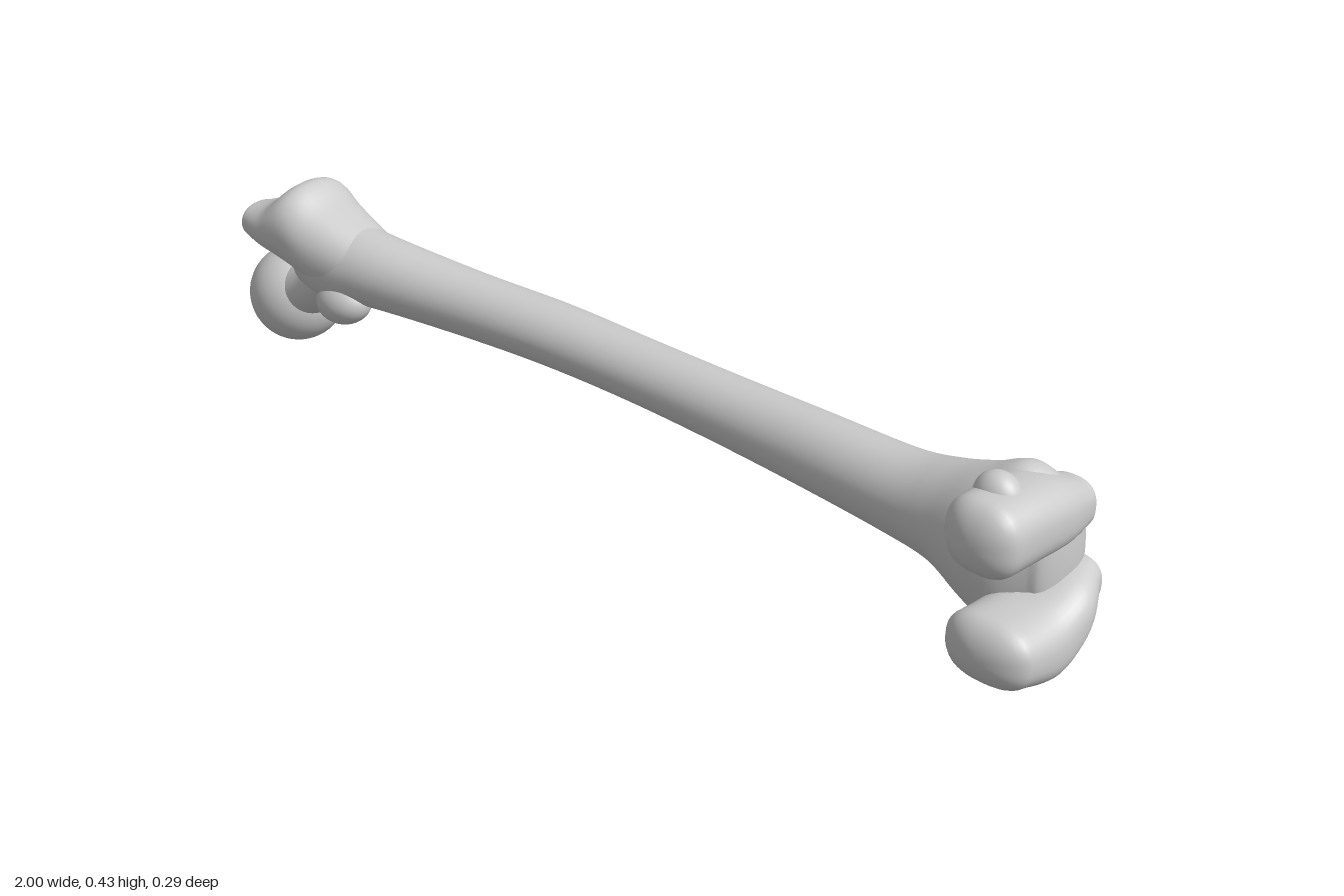
import * as THREE from 'three';

const material = new THREE.MeshStandardMaterial({ color: 0xcccccc, roughness: 0.8 });

// Catmull-Rom blend of one value through four neighbours
const blend = (a, b, c, d, t) =>
  0.5 * (2 * b + (c - a) * t + (2 * a - 5 * b + 4 * c - d) * t * t + (3 * b - a - 3 * c + d) * t * t * t);

// Smooth loft along an axis through rows of [along, centreU, centreV, radiusU, radiusV].
// (u, v) is (y, z) for axis 0 and (x, y) for axis 2. Both ends get rounded caps;
// power above 2 makes the cross-section squarer.
function loft(axis, rows, { capStart, capEnd, power = 2, steps = 6, sides = 40 }) {
  const path = [];
  const last = rows.length - 1;
  for (let i = 0; i < last; i++) {
    const [a, b, c, d] = [i - 1, i, i + 1, i + 2].map(k => rows[Math.min(last, Math.max(0, k))]);
    for (let s = 0; s < steps; s++) path.push(b.map((_, k) => blend(a[k], b[k], c[k], d[k], s / steps)));
  }
  path.push(rows[last]);

  const domeRow = ([t, u, v, ru, rv], cap, angle) =>
    [t + cap * Math.sin(angle), u, v, ru * Math.cos(angle), rv * Math.cos(angle)];
  const start = path[0], end = path[path.length - 1];
  for (let k = 1; k <= 8; k++) {
    const angle = Math.min(k / 8 * Math.PI / 2, 1.5705);
    path.unshift(domeRow(start, -capStart, angle));
    path.push(domeRow(end, capEnd, angle));
  }

  const positions = [], index = [];
  const round = w => Math.sign(w) * Math.abs(w) ** (2 / power);
  path.forEach(([t, u, v, ru, rv], i) => {
    for (let j = 0; j < sides; j++) {
      const angle = j / sides * Math.PI * 2;
      const point = [0, 0, 0];
      point[axis] = t;
      point[(axis + 1) % 3] = u + ru * round(Math.cos(angle));
      point[(axis + 2) % 3] = v + rv * round(Math.sin(angle));
      positions.push(...point);
      if (i === path.length - 1) continue;
      const a = i * sides + j, b = i * sides + (j + 1) % sides;
      index.push(a, b, a + sides, b, b + sides, a + sides);
    }
  });
  const geometry = new THREE.BufferGeometry();
  geometry.setAttribute('position', new THREE.Float32BufferAttribute(positions, 3));
  geometry.setIndex(index);
  geometry.computeVertexNormals();
  return geometry;
}

export function createModel() {
  const group = new THREE.Group();
  const add = (name, geometry) => {
    const mesh = new THREE.Mesh(geometry, material);
    mesh.name = name;
    group.add(mesh);
    return mesh;
  };
  const addKnob = (name, position, radii, tilt = 0) => {
    const mesh = add(name, new THREE.SphereGeometry(1, 40, 28));
    mesh.position.set(...position);
    mesh.scale.set(...radii);
    mesh.rotation.z = tilt;
  };

  // Gently bowed shaft, flaring into the knee end
  add('shaft', loft(0, [
    [-0.76, 0.265, 0.015, 0.085, 0.075],
    [-0.70, 0.258, 0.015, 0.085, 0.08],
    [-0.60, 0.262, 0.008, 0.071, 0.073],
    [-0.40, 0.254, -0.025, 0.062, 0.065],
    [-0.20, 0.251, -0.05, 0.059, 0.065],
    [0.00, 0.248, -0.059, 0.058, 0.063],
    [0.20, 0.246, -0.061, 0.062, 0.064],
    [0.40, 0.245, -0.059, 0.070, 0.067],
    [0.60, 0.243, -0.055, 0.079, 0.074],
    [0.70, 0.247, -0.051, 0.097, 0.080],
    [0.78, 0.241, -0.045, 0.133, 0.090],
    [0.85, 0.236, -0.049, 0.168, 0.087],
    [0.91, 0.240, -0.060, 0.140, 0.070],
  ], { capStart: 0.04, capEnd: 0.03 }));

  // Hip end: ball, slanting neck and the two trochanters
  addKnob('hipBall', [-0.904, 0.097, -0.041], [0.096, 0.097, 0.097]);
  add('neck', loft(0, [
    [-0.88, 0.115, -0.035, 0.070, 0.070],
    [-0.82, 0.148, -0.025, 0.062, 0.060],
    [-0.76, 0.190, -0.008, 0.066, 0.062],
    [-0.70, 0.225, 0.005, 0.068, 0.070],
    [-0.63, 0.245, 0.008, 0.058, 0.062],
  ], { capStart: 0.03, capEnd: 0.06 }));
  add('greaterTrochanter', loft(0, [
    [-0.89, 0.298, 0.055, 0.034, 0.046],
    [-0.845, 0.300, 0.038, 0.050, 0.074],
    [-0.785, 0.312, 0.020, 0.086, 0.093],
    [-0.72, 0.288, 0.018, 0.080, 0.087],
    [-0.63, 0.265, 0.012, 0.066, 0.070],
  ], { capStart: 0.022, capEnd: 0.08, power: 2.2 }));
  addKnob('lesserTrochanter', [-0.662, 0.196, 0.055], [0.062, 0.044, 0.045], 0.25);

  // Knee end: two rounded condyles with a notch between, and side bumps
  add('upperCondyle', loft(2, [
    [-0.118, 0.890, 0.318, 0.048, 0.046],
    [-0.05, 0.880, 0.330, 0.072, 0.064],
    [0.03, 0.880, 0.340, 0.075, 0.068],
    [0.10, 0.880, 0.343, 0.072, 0.069],
  ], { capStart: 0.026, capEnd: 0.045, power: 2.5 }));
  add('lowerCondyle', loft(2, [
    [-0.108, 0.920, 0.190, 0.048, 0.042],
    [-0.05, 0.914, 0.165, 0.083, 0.060],
    [0.02, 0.912, 0.134, 0.088, 0.070],
    [0.10, 0.907, 0.141, 0.086, 0.061],
  ], { capStart: 0.026, capEnd: 0.045, power: 2.5 }));
  add('kneeGroove', loft(2, [
    [-0.105, 0.885, 0.255, 0.045, 0.090],
    [-0.03, 0.880, 0.245, 0.055, 0.100],
  ], { capStart: 0.025, capEnd: 0.04, power: 2.4 }));
  addKnob('upperSideBump', [0.865, 0.386, 0.05], [0.045, 0.047, 0.036]);
  addKnob('lowerSideBump', [0.872, 0.092, 0.0], [0.062, 0.046, 0.06]);

  return group;
}
